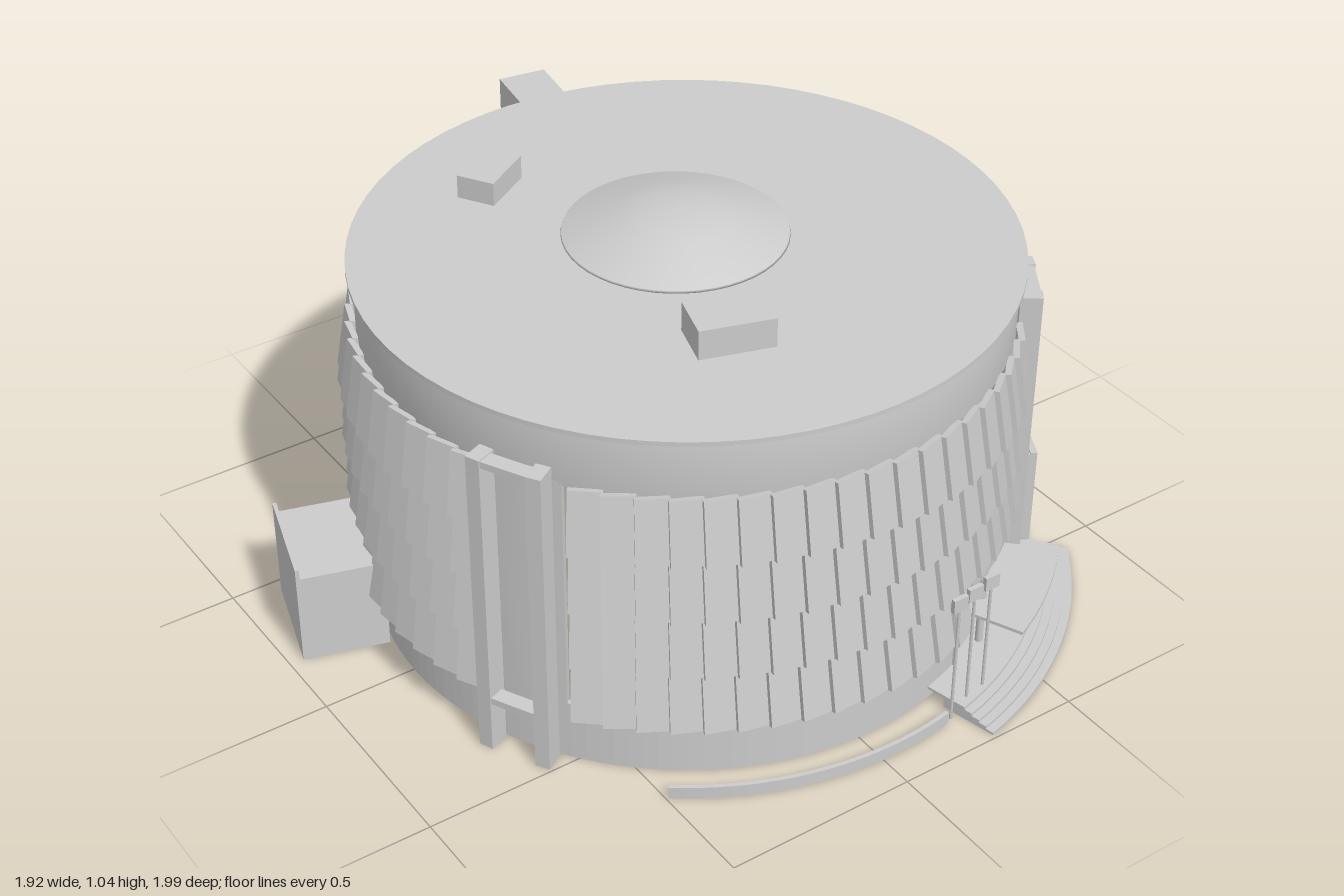
import * as THREE from 'three';

const grey = new THREE.MeshStandardMaterial({ color: 0xcccccc, side: THREE.DoubleSide });
const rad = THREE.MathUtils.degToRad;

// Angles are in degrees, measured from +x towards +z around the drum axis.
function add(parent, name, geometry) {
  const mesh = new THREE.Mesh(geometry, grey);
  mesh.name = name;
  parent.add(mesh);
  return mesh;
}

// Curved block between two radii, two heights and two angles
function arcBlock(parent, name, r0, r1, y0, y1, a0, a1) {
  const shape = new THREE.Shape();
  shape.absarc(0, 0, r1, rad(a0), rad(a1), false);
  shape.absarc(0, 0, r0, rad(a1), rad(a0), true);
  const geo = new THREE.ExtrudeGeometry(shape, {
    depth: y1 - y0, bevelEnabled: false, curveSegments: Math.max(6, Math.ceil((a1 - a0) / 5)),
  });
  geo.rotateX(Math.PI / 2).translate(0, y1, 0);
  return add(parent, name, geo);
}

// Box facing outwards: radial depth, height, tangential width
function radialBox(parent, name, a, r, y, size, tilt = 0, twist = 0) {
  const mesh = add(parent, name, new THREE.BoxGeometry(...size));
  mesh.position.set(r * Math.cos(rad(a)), y, r * Math.sin(rad(a)));
  mesh.rotation.set(0, -rad(a) - twist, tilt, 'YZX');
  return mesh;
}

const angleGap = (a, b) => Math.abs(((a - b + 540) % 360) - 180);

export function createModel() {
  const model = new THREE.Group();
  model.name = 'roundBuilding';
  const drum = new THREE.Group();
  drum.name = 'drum';
  drum.position.set(0.045, 0, 0.015);
  model.add(drum);

  // Plinth, upper band and roof slab
  arcBlock(drum, 'plinthWall', 0.785, 0.8, 0, 0.165, 69, 394);
  const band = [[0.785, 0.8], [0.8, 0.8], [0.8, 0.955], [0.785, 0.955], [0.785, 0.8]];
  add(drum, 'upperBand', new THREE.LatheGeometry(band.map(p => new THREE.Vector2(...p)), 72));
  add(drum, 'roofSlab', new THREE.CylinderGeometry(0.815, 0.815, 0.012, 72)).position.y = 0.96;

  // Shingled facade panels, tilted and twisted, interrupted by the pilasters and entrance
  const pilasters = [152.7, 32.5, 293.3];
  const panels = new THREE.Group();
  panels.name = 'facadePanels';
  drum.add(panels);
  const count = 68;
  for (let row = 0; row < 4; row++) {
    for (let i = 0; i < count; i++) {
      const a = (i + 0.5) * 360 / count;
      if (pilasters.some(p => angleGap(a, p) < 8.4)) continue;
      if (row === 0 && a > 34 && a < 69) continue;
      radialBox(panels, 'panel', a, 0.825, 0.241 + row * 0.1625, [0.016, 0.168, 0.08], 0.17, -0.17);
    }
  }

  // Paired pilasters with cross beams and a wall strip behind
  for (const p of pilasters) {
    const frame = new THREE.Group();
    frame.name = 'pilasterFrame';
    drum.add(frame);
    for (const s of [-1, 1]) radialBox(frame, 'pilaster', p + s * 5.2, 0.833, 0.425, [0.055, 0.85, 0.038]);
    for (const y of [0.838, 0.148]) radialBox(frame, 'crossBeam', p, 0.835, y, [0.04, 0.018, 0.14]);
    arcBlock(frame, 'wallStrip', 0.785, 0.8, 0.16, 0.81, p - 8, p + 8);
  }

  // Stair tower and side annex with parapet
  radialBox(drum, 'stairTower', -81, 0.9, 0.4625, [0.24, 0.925, 0.128]);
  radialBox(drum, 'annex', 196.5, 0.9, 0.126, [0.22, 0.252, 0.285]).position.z -= 0.05;
  radialBox(drum, 'annexParapet', 196.5, 1.005, 0.2, [0.01, 0.16, 0.285]).position.z -= 0.05;

  // Curved side wing with sloping skylights
  arcBlock(drum, 'wingWall', 0.89, 0.908, 0, 0.285, -7, 29.5);
  arcBlock(drum, 'wingRoof', 0.79, 0.895, 0.265, 0.28, -7, 29.5);
  for (const a of [-6.6, 29.1]) radialBox(drum, 'wingEndWall', a, 0.845, 0.14, [0.1, 0.28, 0.012]);
  for (const a of [18.5, 12, 5.5, -1]) {
    radialBox(drum, 'skylight', a, 0.868, 0.33, [0.014, 0.14, 0.075], 0.45, -0.12);
  }

  // Entrance: fan of steps, recessed wall, lintel, canopy and posts
  for (let i = 0; i < 5; i++) {
    arcBlock(drum, 'step', i === 4 ? 0.7 : 0.85, 1.0 - i * 0.022, i * 0.007, (i + 1) * 0.007, 32, 77);
  }
  arcBlock(drum, 'entranceBackWall', 0.7, 0.712, 0.03, 0.285, 33, 70);
  arcBlock(drum, 'entranceLintel', 0.7, 0.835, 0.28, 0.322, 33.5, 69);
  arcBlock(drum, 'entranceCanopy', 0.75, 0.955, 0.163, 0.172, 45, 66);
  for (const a of [61, 43]) {
    const post = add(drum, 'entrancePost', new THREE.CylinderGeometry(0.01, 0.01, 0.25, 12));
    post.position.set(0.815 * Math.cos(rad(a)), 0.157, 0.815 * Math.sin(rad(a)));
  }
  for (const a of [34, 69]) radialBox(drum, 'entranceJamb', a, 0.755, 0.16, [0.1, 0.25, 0.015]);

  // Small square banners on thin poles beside the steps
  for (const x of [0.225, 0.28, 0.34]) {
    const z = 0.885 - (x - 0.225) * 0.2;
    add(model, 'bannerPole', new THREE.CylinderGeometry(0.004, 0.004, 0.34, 6)).position.set(x, 0.17, z);
    add(model, 'bannerHead', new THREE.BoxGeometry(0.042, 0.038, 0.012)).position.set(x, 0.356, z);
  }

  // Low garden wall following the drum
  arcBlock(drum, 'gardenWall', 0.885, 0.896, 0, 0.033, 79.5, 127);

  // Shallow roof dome
  const profile = [[0.265, 0.963], [0.265, 0.974], [0.277, 0.974], [0.275, 0.98], [0.2, 1.004], [0.15, 1.023],
    [0.1, 1.036], [0.05, 1.043], [0, 1.045]];
  add(model, 'roofDome', new THREE.LatheGeometry(profile.map(p => new THREE.Vector2(...p)), 48))
    .position.set(0.045, 0, -0.03);

  // Rooftop plant boxes
  for (const [x, z, w, d, top, turn] of [
    [-0.21, -0.47, 0.15, 0.1, 1.028, 0.55],
    [-0.11, 0.41, 0.187, 0.128, 1.043, -0.3],
  ]) {
    const unit = add(model, 'rooftopUnit', new THREE.BoxGeometry(w, top - 0.96, d));
    unit.position.set(x, (top + 0.96) / 2, z);
    unit.rotation.y = turn;
  }
  return model;
}
